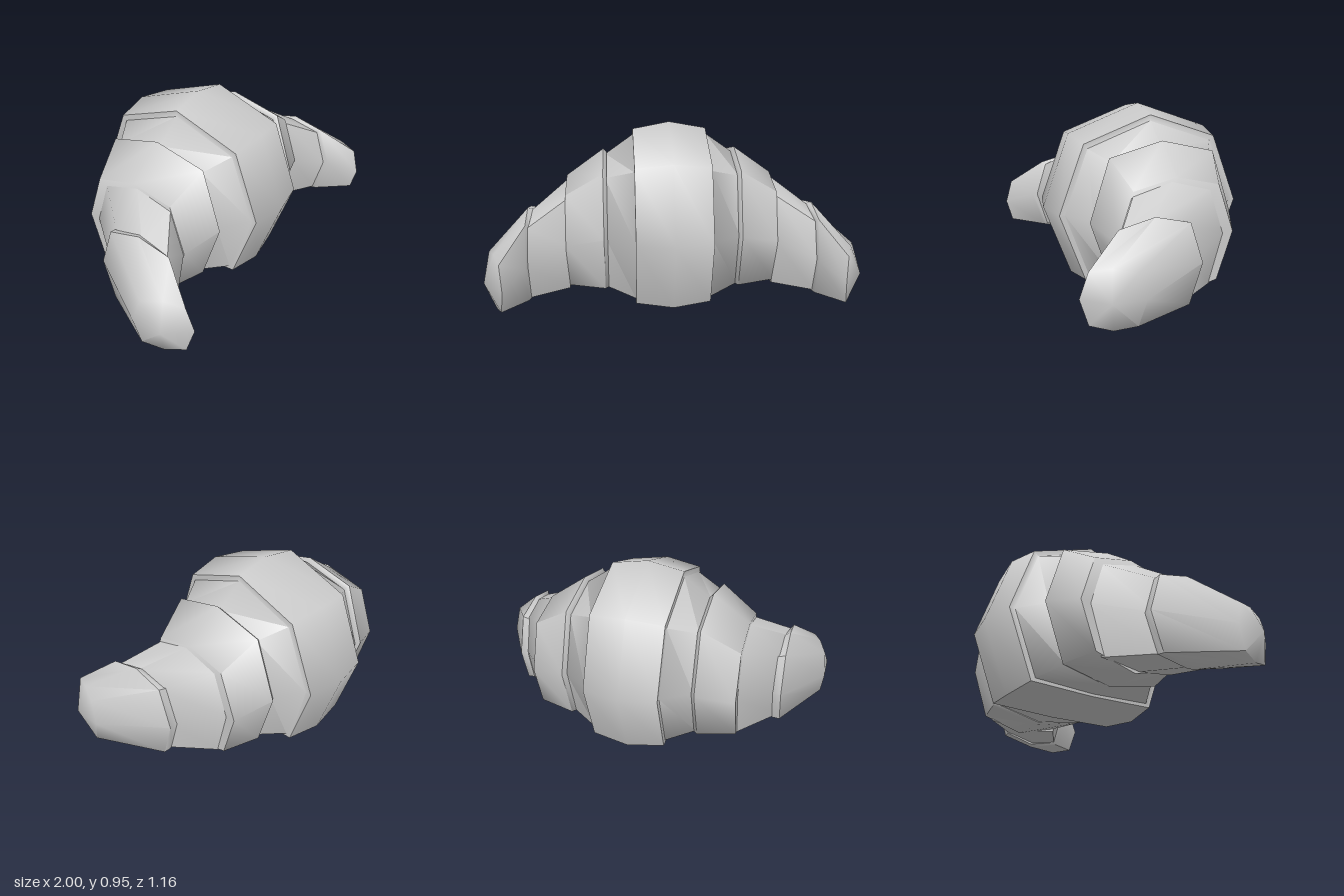
import * as THREE from 'three';
import { toCreasedNormals } from 'three/addons/utils/BufferGeometryUtils.js';

// ring: [xBack, xFront, zBack, zFront, yTop, yUpper, ySide, yLower, yBottom]
function ringPoints([xb, xf, zb, zf, top, upper, side, lower, bottom]) {
  const profile = [[0, top], [0.73, upper], [1, side], [0.73, lower],
    [0, bottom], [-0.73, lower], [-1, side], [-0.73, upper]];
  return profile.map(([u, y]) => {
    const t = (u + 1) / 2;
    return [xb + (xf - xb) * t, y, zb + (zf - zb) * t];
  });
}

// Closed skin through eight-sided rings ordered along +x
function loft(rings) {
  const n = 8, pos = [], index = [];
  const loops = rings.map(ringPoints);
  loops.forEach((loop) => loop.forEach((p) => pos.push(...p)));
  for (let i = 0; i < loops.length - 1; i++) {
    for (let j = 0; j < n; j++) {
      const k = (j + 1) % n;
      const a = i * n + j, b = i * n + k, c = b + n, d = a + n;
      index.push(a, b, c, a, c, d);
    }
  }
  // end caps as fans around the ring centre
  const cap = (i, flip) => {
    const centre = pos.length / 3;
    pos.push(...[0, 1, 2].map((q) => loops[i].reduce((s, p) => s + p[q], 0) / n));
    for (let j = 0; j < n; j++) {
      const a = i * n + j, b = i * n + (j + 1) % n;
      index.push(centre, ...(flip ? [b, a] : [a, b]));
    }
  };
  cap(0, true);
  cap(loops.length - 1, false);
  const g = new THREE.BufferGeometry();
  g.setAttribute('position', new THREE.Float32BufferAttribute(pos, 3));
  g.setIndex(index);
  return toCreasedNormals(g, 1.0);
}

const mirror = (rings) => rings.map(([xb, xf, ...r]) => [-xb, -xf, ...r]).reverse();

export function createModel() {
  const model = new THREE.Group();
  model.name = 'croissant';
  const pastry = new THREE.MeshStandardMaterial({ color: 0xcccccc });
  pastry.name = 'plain pastry';

  const add = (name, rings) => {
    const mesh = new THREE.Mesh(loft(rings), pastry);
    mesh.name = name;
    model.add(mesh);
  };

  // Fat middle roll, with its raised band and tapering shoulders
  const middle = [
    [0, 0, -0.585, 0.53, 0.96, 0.81, 0.405, 0.005, 0.01],
    [0.205, 0.205, -0.545, 0.49, 0.922, 0.785, 0.405, 0.025, 0.015],
    [0.206, 0.206, -0.512, 0.46, 0.89, 0.76, 0.405, 0.045, 0.03],
    [0.36, 0.36, -0.40, 0.345, 0.78, 0.71, 0.4, 0.085, 0.03],
  ];
  add('middleRoll', [...mirror(middle.slice(1)), ...middle]);

  // Rolls and pointed ends of one arm
  const arm = {
    InnerRoll: [
      [0.352, 0.352, -0.41, 0.35, 0.79, 0.72, 0.4, 0.085, 0.025],
      [0.372, 0.372, -0.43, 0.37, 0.81, 0.737, 0.4, 0.08, 0.015],
      [0.58, 0.58, -0.35, 0.29, 0.66, 0.605, 0.345, 0.085, 0.02],
    ],
    OuterRoll: [
      [0.57, 0.57, -0.305, 0.28, 0.645, 0.585, 0.34, 0.065, 0.035],
      [0.78, 0.78, -0.035, 0.395, 0.505, 0.465, 0.27, 0.07, 0.035],
    ],
    Tip: [
      [0.742, 0.775, -0.085, 0.39, 0.518, 0.475, 0.27, 0.065, 0.025],
      [0.788, 0.785, -0.085, 0.42, 0.53, 0.485, 0.27, 0.06, 0.015],
      [1.0, 0.89, 0.285, 0.578, 0.36, 0.34, 0.21, 0.08, 0.055],
      [1.0, 1.0, 0.455, 0.455, 0.21, 0.21, 0.21, 0.21, 0.21],
    ],
  };
  for (const [part, rings] of Object.entries(arm)) {
    add('left' + part, rings);
    add('right' + part, mirror(rings));
  }
  return model;
}
